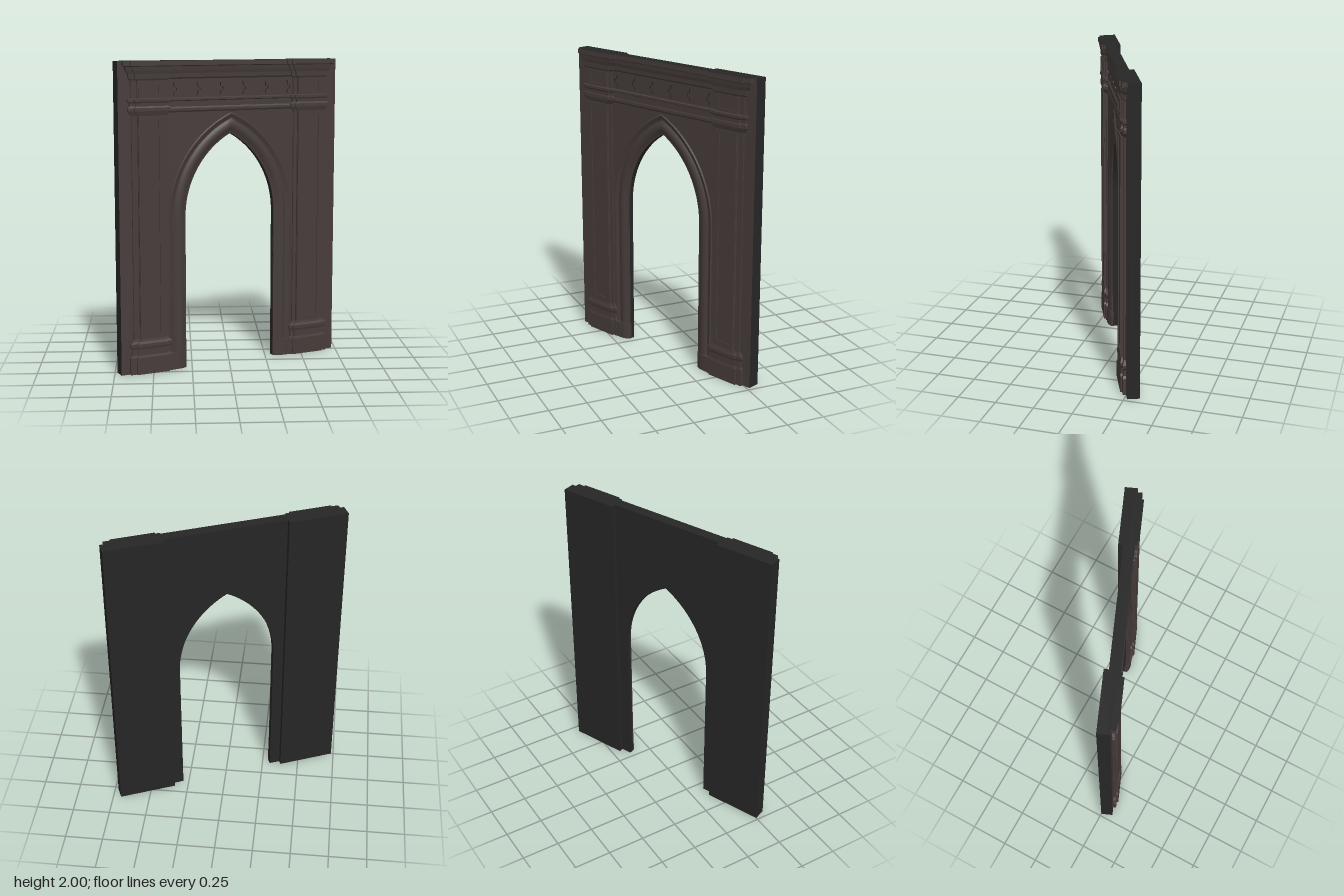
import * as THREE from 'three';
import { toCreasedNormals } from 'three/addons/utils/BufferGeometryUtils.js';

const stone = new THREE.MeshStandardMaterial({ color: 0x463c3a });
stone.name = 'brown stone';
const slab = new THREE.MeshStandardMaterial({ color: 0x262626 });
slab.name = 'dark core';

// Pointed arch: vertical jambs up to SPRING, then two arcs meeting at the apex
const HALF = 0.32, SPRING = 1.0, C = 0.279, R = HALF + C;

// Outline of the arch offset outward by o, from the left foot to the right foot
function archPath(o, foot, steps = 20) {
  const r = R + o, end = Math.acos(C / r), right = [[HALF + o, foot]];
  for (let i = 0; i <= steps; i++) {
    const t = end * i / steps;
    right.push([r * Math.cos(t) - C, SPRING + r * Math.sin(t)]);
  }
  const left = right.map(([x, y]) => [-x, y]);
  return left.concat(right.slice(0, -1).reverse());
}

function polygon(points, Type = THREE.Shape) {
  return new Type(points.map(([x, y]) => new THREE.Vector2(x, y)));
}

const rect = (x0, y0, x1, y1) => [[x0, y0], [x1, y0], [x1, y1], [x0, y1]];

function extrude(shape, z0, z1, materials, name) {
  const g = new THREE.ExtrudeGeometry(shape, { depth: z1 - z0, bevelEnabled: false });
  g.translate(0, 0, z0);
  const m = new THREE.Mesh(g, materials);
  m.name = name;
  return m;
}

// Wall outline with the doorway cut out of its lower edge
function wallShape(halfWidth, offset) {
  return polygon([[-halfWidth, 0], ...archPath(offset, 0), [halfWidth, 0], [halfWidth, 2], [-halfWidth, 2]]);
}

// Stack of rectangles: each ring is [y, growth sideways, growth forward]
function loft(x0, x1, z0, z1, rings, name) {
  const pos = [];
  const ring = ([y, gx, gz]) => [
    [x0 - gx, y, z0], [x0 - gx, y, z1 + gz], [x1 + gx, y, z1 + gz], [x1 + gx, y, z0]];
  const quad = (a, b, c, d) => pos.push(...a, ...b, ...c, ...a, ...c, ...d);
  for (let i = 0; i < rings.length - 1; i++) {
    const a = ring(rings[i]), b = ring(rings[i + 1]);
    for (let k = 0; k < 3; k++) quad(a[k], a[k + 1], b[k + 1], b[k]);
  }
  const sides = pos.length / 3;
  const top = ring(rings[rings.length - 1]), low = ring(rings[0]);
  quad(top[0], top[1], top[2], top[3]);
  quad(low[3], low[2], low[1], low[0]);
  const g = new THREE.BufferGeometry();
  g.setAttribute('position', new THREE.Float32BufferAttribute(pos, 3));
  g.addGroup(0, sides, 0);
  g.addGroup(sides, 12, 1);
  g.computeVertexNormals();
  const m = new THREE.Mesh(g, [stone, slab]);
  m.name = name;
  return m;
}

// Rolled moulding: a cross-section of [offset, z] swept around the arch
function archMoulding() {
  const section = [[0, 0.01], [0, 0.02], [0.012, 0.022], [0.025, 0.032], [0.042, 0.039], [0.06, 0.039],
    [0.074, 0.033], [0.084, 0.025], [0.094, 0.026], [0.104, 0.034], [0.114, 0.037], [0.122, 0.029]];
  const pos = [], idx = [];
  const rows = section.map(([o, z]) => archPath(o, 0.1).map(([x, y]) => [x, y, z]));
  const n = rows[0].length;
  rows.forEach(row => row.forEach(p => pos.push(...p)));
  for (let j = 0; j < rows.length - 1; j++) {
    for (let i = 0; i < n - 1; i++) {
      const a = j * n + i, b = a + 1, c = a + n, d = c + 1;
      idx.push(a, b, d, a, d, c);
    }
  }
  let g = new THREE.BufferGeometry();
  g.setAttribute('position', new THREE.Float32BufferAttribute(pos, 3));
  g.setIndex(idx);
  g = toCreasedNormals(g, 0.75);
  const m = new THREE.Mesh(g, stone);
  m.name = 'archMoulding';
  return m;
}

// Lobed diamond outline for the frieze piercings
function diamond(cx, cy) {
  const pts = [];
  for (let i = 0; i < 24; i++) {
    const t = i / 24 * Math.PI * 2;
    const r = 0.75 + 0.25 * Math.cos(4 * t);
    pts.push([cx + 0.028 * r * Math.cos(t), cy + 0.044 * r * Math.sin(t)]);
  }
  return polygon(pts, THREE.Path);
}

// Raised border around a sunk panel
function panelFrame(outer, inner, z, name) {
  const s = polygon(rect(...outer));
  s.holes.push(polygon(rect(...inner), THREE.Path));
  return extrude(s, z, z + 0.007, stone, name);
}

function pilaster(side) {
  const p = new THREE.Group();
  p.name = side > 0 ? 'leftPilaster' : 'rightPilaster';
  const span = (a, b) => (side > 0 ? [a, b] : [-b, -a]);

  // Backing slab
  const back = new THREE.Mesh(new THREE.BoxGeometry(0.385, 2, 0.062), slab);
  back.position.set(side * 0.5825, 1, -0.019);
  back.name = 'pilasterBack';
  p.add(back);

  // Base, shaft, capital, block and cornice share one profile
  const profile = [[0, 0.028], [0.11, 0.028], [0.125, 0.016], [0.165, 0.014], [0.18, 0.026], [0.2, 0.026],
    [0.215, 0.008], [0.23, 0], [1.66, 0], [1.675, 0.012], [1.69, 0.024], [1.71, 0.024], [1.72, 0.012],
    [1.74, 0.014], [1.75, 0.028], [1.765, 0.028], [1.77, 0.004], [1.88, 0.004], [1.89, 0.018], [1.92, 0.022],
    [1.94, 0.036], [1.965, 0.046], [1.97, 0.058], [2, 0.058]];
  const rings = profile.map(([y, g]) => [y, g, g * 0.33]);
  p.add(loft(...span(0.455, 0.69), 0, 0.041, rings, 'pilasterStep'));
  const inner = rings.map(([y, g, f]) => [y, g * 0.9, f]);
  p.add(loft(...span(0.48, 0.652), 0, 0.053, inner, 'pilasterShaft'));

  // Sunk panels on the shaft and on the block above the capital
  const frame = (y0, y1, h0, h1, z, name) => {
    const [a, b] = span(0.482, 0.65), [c, d] = span(0.513, 0.633);
    p.add(panelFrame([a, y0, b, y1], [c, h0, d, h1], z, name));
  };
  frame(0.232, 1.658, 0.265, 1.635, 0.053, 'shaftPanelFrame');
  frame(1.772, 1.878, 1.79, 1.853, 0.0543, 'blockPanelFrame');

  // Rounded plinth carrying the foot of the moulding
  const plan = [[0.32, 0.005], [0.32, 0.023], [0.335, 0.033], [0.36, 0.043], [0.39, 0.046], [0.47, 0.046], [0.47, 0.005]];
  const g = new THREE.ExtrudeGeometry(polygon(plan.map(([x, z]) => [side * x, -z])), { depth: 0.11, bevelEnabled: false });
  g.rotateX(-Math.PI / 2);
  const plinth = new THREE.Mesh(g, stone);
  plinth.name = 'mouldingPlinth';
  p.add(plinth);
  return p;
}

export function createModel() {
  const root = new THREE.Group();
  root.name = 'gothicArchway';
  const arch = new THREE.Group();
  arch.name = 'archway';
  arch.rotation.y = Math.PI / 8;
  root.add(arch);

  // Core of the wall and its carved front layer
  arch.add(extrude(wallShape(0.4, 0), -0.02, 0.012, slab, 'wallCore'));
  const front = wallShape(0.775, 0.118);
  for (let i = 0; i < 6; i++) front.holes.push(diamond((i - 2.5) * 0.162, 1.82));
  arch.add(extrude(front, 0.012, 0.03, [stone, slab], 'wallFront'));
  const bed = new THREE.Mesh(new THREE.BoxGeometry(0.9, 0.1, 0.008), stone);
  bed.position.set(0, 1.82, 0.016);
  bed.name = 'friezeBed';
  arch.add(bed);

  arch.add(archMoulding());

  // String course below the frieze and cornice above it
  const course = [[1.675, 0], [1.685, 0.006], [1.7, 0.006], [1.71, 0.002], [1.745, 0.002], [1.75, 0.009],
    [1.762, 0.009], [1.768, 0]];
  const cornice = [[1.885, 0], [1.895, 0.006], [1.92, 0.007], [1.94, 0.012], [1.965, 0.015], [1.97, 0.02], [2, 0.02]];
  const straight = list => list.map(([y, g]) => [y, 0, g]);
  arch.add(loft(-0.46, 0.46, 0.02, 0.03, straight(course), 'stringCourse'));
  arch.add(loft(-0.46, 0.46, 0.02, 0.03, straight(cornice), 'cornice'));

  arch.add(pilaster(1), pilaster(-1));
  return root;
}
